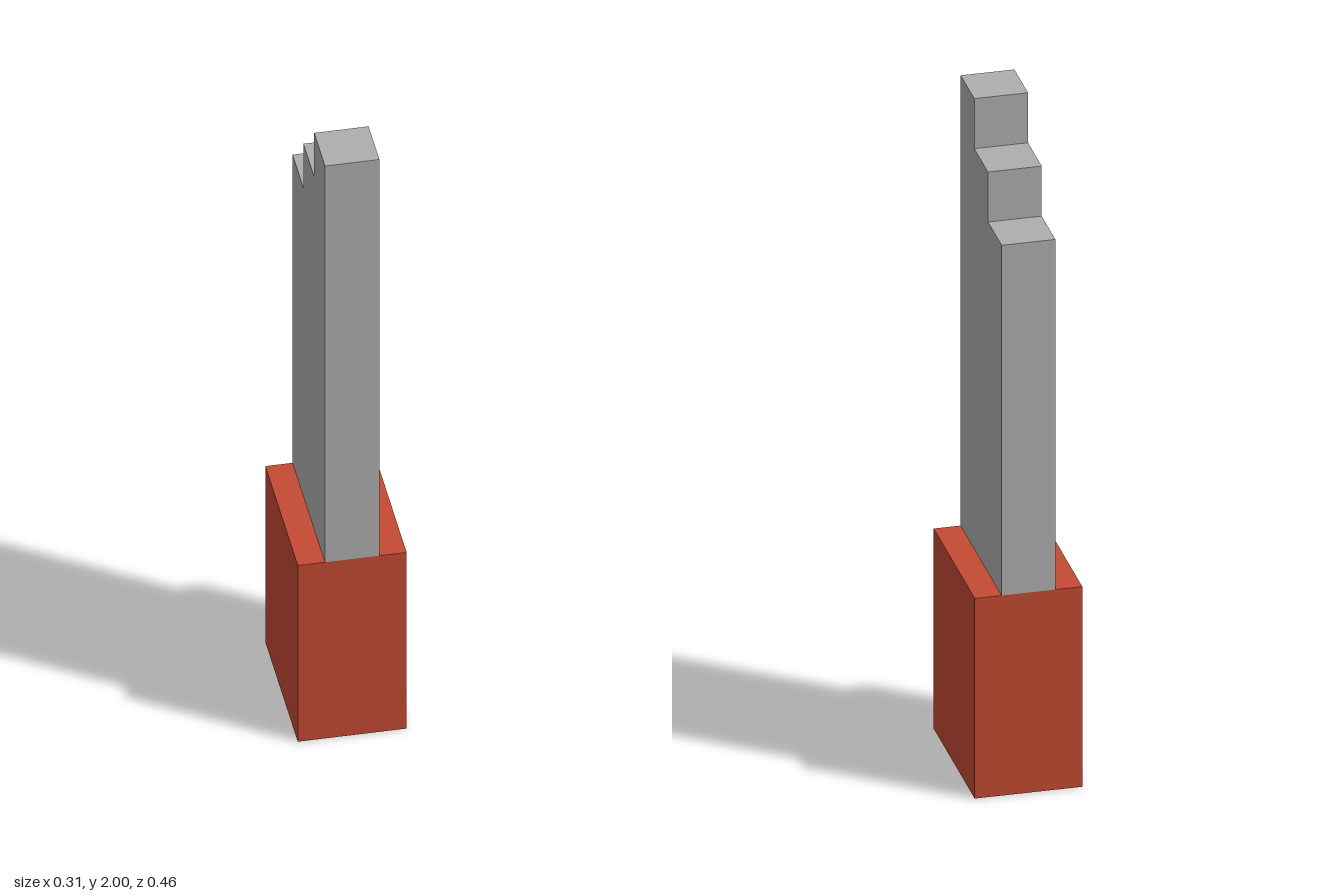
import * as THREE from 'three';

const U = 2 / 13; // grid unit: the model is 13 units tall

export function createModel() {
  const model = new THREE.Group();
  model.name = 'steppedBlade';

  const red = new THREE.MeshStandardMaterial({ color: 0xc44a33 });
  red.name = 'red';
  const grey = new THREE.MeshStandardMaterial({ color: 0xaeaeae });
  grey.name = 'grey';

  // Handle: solid block, 2 x 4 x 3 units
  const handle = new THREE.Mesh(new THREE.BoxGeometry(2 * U, 4 * U, 3 * U), red);
  handle.name = 'handle';
  handle.position.y = 2 * U;
  model.add(handle);

  // Blade: side profile (z, y) stepping down towards the back
  const profile = [
    [-1.5, 4], [1.5, 4], [1.5, 13], [0.5, 13],
    [0.5, 12], [-0.5, 12], [-0.5, 11], [-1.5, 11],
  ].map(([z, y]) => new THREE.Vector2(z * U, y * U));
  const bladeGeometry = new THREE.ExtrudeGeometry(new THREE.Shape(profile), {
    depth: U,
    bevelEnabled: false,
  });
  bladeGeometry.translate(0, 0, -U / 2);
  bladeGeometry.rotateY(-Math.PI / 2); // profile x becomes z
  const blade = new THREE.Mesh(bladeGeometry, grey);
  blade.name = 'blade';
  model.add(blade);

  return model;
}
